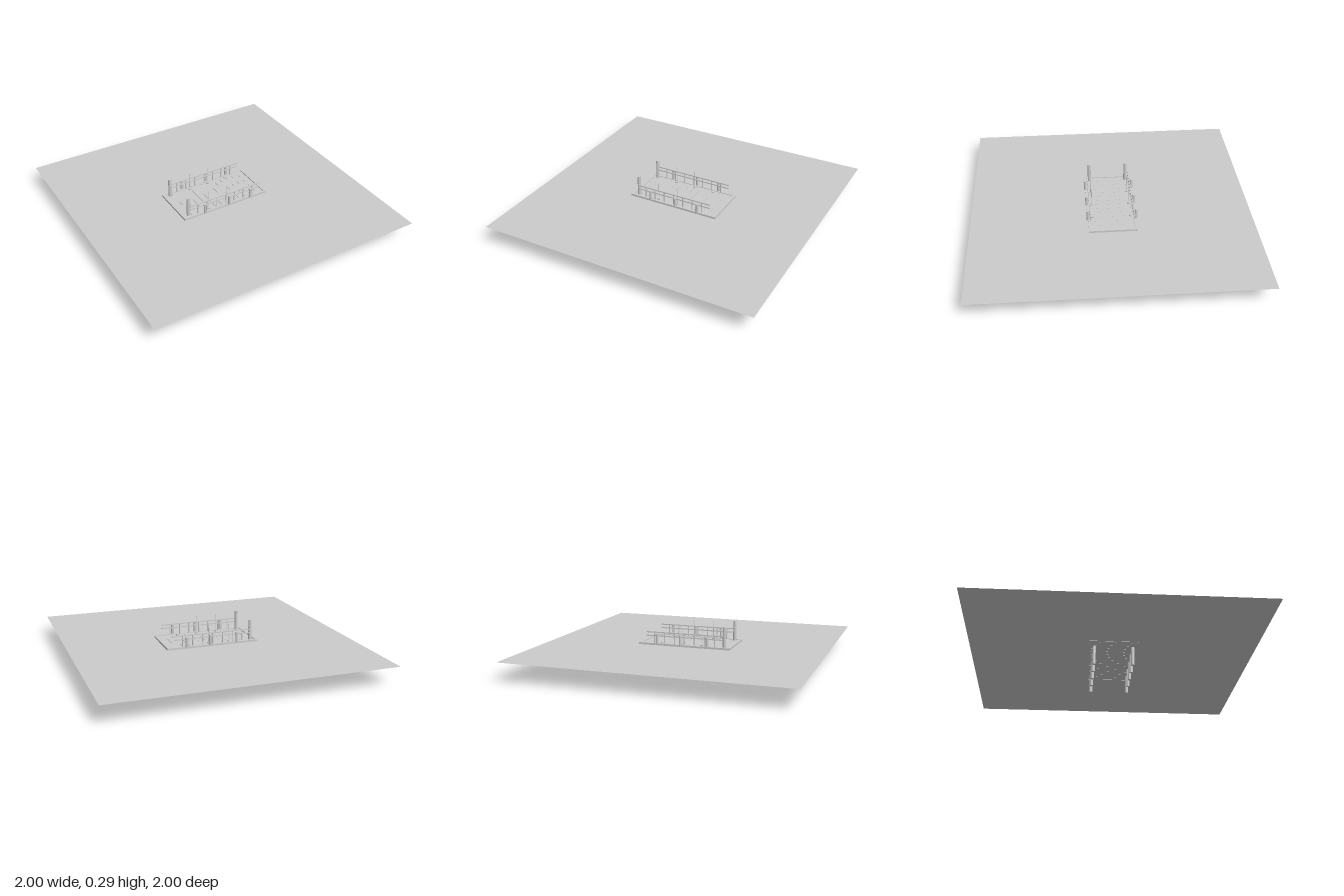
import * as THREE from 'three';

const grey = new THREE.MeshStandardMaterial({ color: 0xcccccc });
const sheet = new THREE.MeshStandardMaterial({ color: 0xcccccc, side: THREE.DoubleSide });

export function createModel() {
  const model = new THREE.Group();

  const add = (name, geometry, x, y, z, material = grey) => {
    const mesh = new THREE.Mesh(geometry, material);
    mesh.name = name;
    mesh.position.set(x, y, z);
    model.add(mesh);
    return mesh;
  };
  const box = (name, w, h, d, x, y, z) => add(name, new THREE.BoxGeometry(w, h, d), x, y, z);
  // Upright cylinder from height y0 to y1
  const post = (name, r, y0, y1, x, z, sides = 16) =>
    add(name, new THREE.CylinderGeometry(r, r, y1 - y0, sides), x, (y0 + y1) / 2, z);

  // Water surface
  const water = new THREE.PlaneGeometry(2, 2);
  water.rotateX(-Math.PI / 2);
  add('waterSurface', water, 0, 0.137, 0, sheet);

  // Deck planks laid across the pier
  const planks = 13, pitch = 0.64 / planks;
  for (let i = 0; i < planks; i++) {
    box('deckPlank', pitch - 0.001, 0.011, 0.31, -0.32 + pitch * (i + 0.5), 0.1415, 0);
  }

  // Rim around the deck
  for (const s of [-1, 1]) {
    box('sideBeam', 0.68, 0.016, 0.015, 0, 0.143, s * 0.1625);
    box('endBeam', 0.018, 0.016, 0.31, s * 0.331, 0.143, 0);
  }

  // Everything that stands along the two long sides
  for (const s of [-1, 1]) {
    const z = s * 0.135;

    for (const x of [-0.25, -0.127, 0, 0.127, 0.25]) post('pile', 0.012, 0, 0.137, x, z);

    post('tallPost', 0.012, 0.145, 0.292, -0.292, z);

    // Mooring bases, two of them carrying a pointed rod
    for (const x of [-0.128, 0.022, 0.172]) post('mooringBase', 0.011, 0.145, 0.156, x, z);
    for (const x of [-0.128, 0.022]) {
      post('rod', 0.002, 0.15, 0.27, x, z, 8);
      add('rodTip', new THREE.ConeGeometry(0.006, 0.02, 12), x, 0.278, z);
    }

    // Railing
    for (const y of [0.203, 0.229]) box('rail', 0.575, 0.008, 0.007, 0, y, s * 0.153);
    for (let i = -3; i <= 3; i++) box('railPost', 0.006, 0.08, 0.006, i * 0.075, 0.188, s * 0.153);

    // Fenders hung outside the railing
    for (const x of [-0.176, 0.024, 0.199]) {
      post('fender', 0.01, 0.148, 0.22, x, s * 0.171, 12);
      add('fenderCap', new THREE.CylinderGeometry(0.012, 0.012, 0.008, 12), x, 0.218, s * 0.171);
    }
  }

  return model;
}
